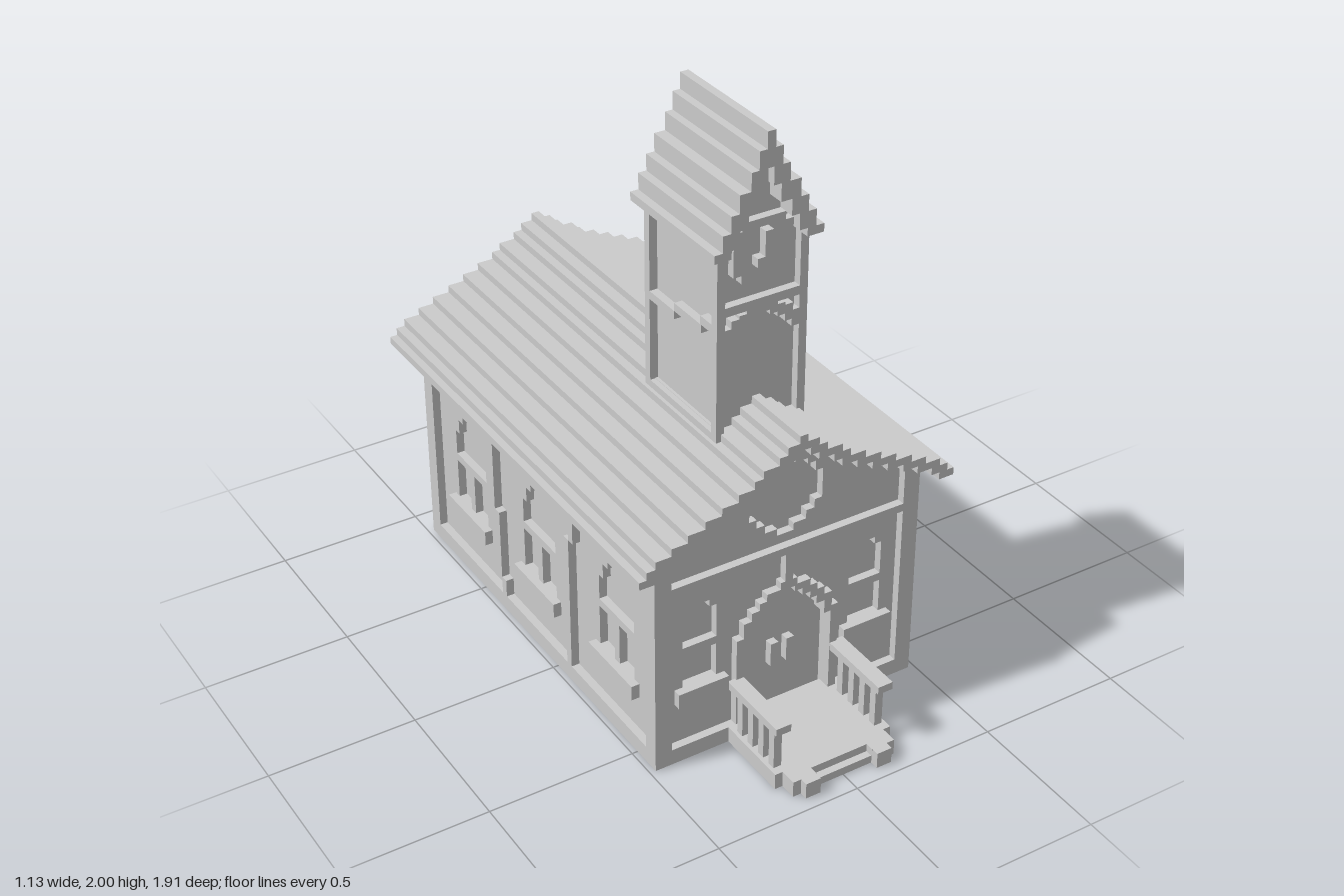
import * as THREE from 'three';

const U = 0.028; // relief depth and beam width
const material = new THREE.MeshStandardMaterial({ color: 0xcccccc, flatShading: true });

function add(parent, name, geometry) {
  const mesh = new THREE.Mesh(geometry, material);
  mesh.name = name;
  parent.add(mesh);
  return mesh;
}

// box given by its min and max on each axis
function box(parent, name, x0, x1, y0, y1, z0, z1) {
  const g = new THREE.BoxGeometry(x1 - x0, y1 - y0, z1 - z0);
  g.translate((x0 + x1) / 2, (y0 + y1) / 2, (z0 + z1) / 2);
  return add(parent, name, g);
}

// symmetric outline stacked from rows of [half width, top]
function stepped(cx, y0, rows, Type = THREE.Shape) {
  const right = [];
  let y = y0;
  for (const [h, top] of rows) {
    right.push([h, y], [h, top]);
    y = top;
  }
  const left = right.map(([h, v]) => [-h, v]).reverse();
  return new Type([...right, ...left].map(([h, v]) => new THREE.Vector2(cx + h, v)));
}

function slab(parent, name, shape, z0, z1) {
  const g = new THREE.ExtrudeGeometry(shape, { depth: z1 - z0, bevelEnabled: false });
  g.translate(0, 0, z0);
  return add(parent, name, g);
}

// stepped gable roof: a pair of planks per row, meeting at the ridge
function roof(parent, name, y0, rows, lap, z0, z1) {
  const group = new THREE.Group();
  group.name = name;
  let y = y0;
  rows.forEach(([h, top], i) => {
    const inner = i + 1 < rows.length ? Math.max(0, rows[i + 1][0] - lap) : 0;
    if (inner > 0) {
      box(group, 'roofPlank', inner, h, y, top, z0, z1);
      box(group, 'roofPlank', -h, -inner, y, top, z0, z1);
    } else box(group, 'ridgePlank', -h, h, y, top, z0, z1);
    y = top;
  });
  parent.add(group);
}

// wall local frame: outer face of the timber frame at z = 0, panel one step behind
function wallPanel(parent, outline, holes) {
  outline.holes.push(...holes);
  slab(parent, 'wallPanel', outline, -2 * U, -U);
}

const wideRows = [[0.105, 0.5], [0.08, 0.555], [0.05, 0.58]];
const narrowRows = [[0.06, 0.53], [0.035, 0.555]];
const wideHole = (c) => stepped(c, 0.2, wideRows, THREE.Path);
const narrowHole = (c) => stepped(c, 0.22, narrowRows, THREE.Path);

function wideBars(parent, c) {
  box(parent, 'windowSill', c - 0.132, c + 0.132, 0.18, 0.232, -2 * U, 0);
  box(parent, 'windowTransom', c - 0.105, c + 0.105, 0.38, 0.408, -2 * U, -U);
  box(parent, 'windowMullion', c - 0.015, c + 0.015, 0.23, 0.38, -2 * U, -U);
}

function narrowBars(parent, c) {
  box(parent, 'windowSill', c - 0.09, c + 0.09, 0.205, 0.26, -2 * U, 0);
  box(parent, 'windowTransom', c - 0.06, c + 0.06, 0.38, 0.408, -2 * U, -U);
}

const beam = (p, x0, x1, y0, y1) => box(p, 'timberBeam', x0, x1, y0, y1, -1.5 * U, 0);

export function createModel() {
  const model = new THREE.Group();
  model.name = 'chapel';
  const W = 0.48, ZF = 0.608, ZB = -0.894, ZC = (ZF + ZB) / 2, HL = (ZF - ZB) / 2;

  // main roof rows
  const edges = [0.565, 0.54, 0.51, 0.455, 0.4, 0.34, 0.283, 0.226, 0.17, 0.14, 0.085, 0.055, 0.014];
  const roofRows = edges.map((h, i) => [h, 0.76 + (0.34 / 13) * (i + 1)]);
  roof(model, 'mainRoof', 0.76, roofRows, 0.03, -0.955, 0.665);

  // gable outline shared by the core and the end walls
  const gable = (half) => roofRows.map(([h, t]) => [Math.min(half, h - 0.008), t]);
  slab(model, 'houseCore', stepped(0, 0, gable(W - 2 * U)), ZB + 2 * U, ZF - 2 * U);

  // corner posts
  for (const sx of [-1, 1]) for (const z of [ZB + 0.029, ZF - 0.029]) {
    box(model, 'cornerPost', sx * 0.451 - 0.029, sx * 0.451 + 0.029, 0, 0.81, z - 0.029, z + 0.029);
  }

  // front wall
  const front = new THREE.Group();
  front.name = 'frontWall';
  front.position.z = ZF;
  model.add(front);
  const doorIn = [[0.16, 0.36], [0.135, 0.41], [0.105, 0.44], [0.08, 0.465], [0.05, 0.49], [0.022, 0.51]];
  const doorOut = [[0.188, 0.38], [0.163, 0.435], [0.134, 0.465], [0.106, 0.49], [0.08, 0.515], [0.03, 0.54]];
  const roundRows = [[0.03, 0.725], [0.075, 0.755], [0.105, 0.785], [0.132, 0.89], [0.105, 0.925], [0.075, 0.945], [0.03, 0.965]];
  wallPanel(front, stepped(0, 0, gable(0.452)), [
    narrowHole(0.305), narrowHole(-0.305),
    stepped(0, 0.03, doorIn, THREE.Path),
    stepped(0, 0.7, roundRows, THREE.Path),
  ]);
  for (const s of [-1, 1]) {
    narrowBars(front, s * 0.305);
    beam(front, s * 0.32 - 0.135, s * 0.32 + 0.135, 0, 0.056);
    box(front, 'doorHandle', s * 0.029 - 0.014, s * 0.029 + 0.014, 0.205, 0.29, -2 * U, -U);
  }
  const arch = stepped(0, 0, doorOut);
  arch.holes.push(stepped(0, 0.03, doorIn, THREE.Path));
  slab(front, 'doorArch', arch, -2 * U, 0);
  beam(front, -0.43, 0.43, 0.64, 0.668);
  beam(front, -0.014, 0.014, 0.53, 0.65);

  // back wall
  const back = new THREE.Group();
  back.name = 'backWall';
  back.position.z = ZB;
  back.rotation.y = Math.PI;
  model.add(back);
  wallPanel(back, stepped(0, 0, gable(0.452)), [wideHole(0.21), wideHole(-0.21)]);
  wideBars(back, 0.21);
  wideBars(back, -0.21);
  beam(back, -0.43, 0.43, 0, 0.056);
  beam(back, -0.43, 0.43, 0.64, 0.668);
  beam(back, -0.014, 0.014, 0.05, 0.65);
  beam(back, -0.235, -0.207, 0.66, 0.93);

  // side walls, each the other turned half way round
  for (const s of [-1, 1]) {
    const side = new THREE.Group();
    side.name = s > 0 ? 'rightSideWall' : 'leftSideWall';
    side.position.set(s * W, 0, ZC);
    side.rotation.y = (s * Math.PI) / 2;
    model.add(side);
    const centres = [-0.478, -0.01, 0.478];
    wallPanel(side, stepped(0, 0, [[HL - U, 0.8]]), centres.map(wideHole));
    centres.forEach((c) => wideBars(side, c));
    beam(side, -0.7, 0.7, 0, 0.056);
    beam(side, -0.7, 0.7, 0.64, 0.668);
    // cranked posts between the windows
    beam(side, -0.292, -0.264, 0.38, 0.65);
    beam(side, -0.264, -0.234, 0.11, 0.38);
    beam(side, -0.234, -0.206, 0.05, 0.12);
    beam(side, 0.232, 0.26, 0.555, 0.65);
    beam(side, 0.204, 0.232, 0.05, 0.555);
    beam(side, -0.058, -0.03, 0.66, 0.79);
  }

  // bell tower
  const tower = new THREE.Group();
  tower.name = 'bellTower';
  model.add(tower);
  const TW = 0.158, TF = 0.434, TB = 0.03;
  const spire = [[0.188, 1.655], [0.16, 1.71], [0.132, 1.765], [0.104, 1.825], [0.066, 1.885], [0.04, 1.945], [0.014, 2]];
  roof(tower, 'towerRoof', 1.627, spire, 0.03, 0.002, 0.465);
  const towerRows = spire.map(([h, t]) => [Math.min(TW - U, h - 0.008), t - 0.003]);
  slab(tower, 'towerCore', stepped(0, 0.9, towerRows), TB + U, TF - U);
  for (const sx of [-1, 1]) {
    const c = sx * (TW - U / 2);
    for (const z of [TB, TF - U]) box(tower, 'towerPost', c - U / 2, c + U / 2, 0.9, 1.65, z, z + U);
    // cranked side rail
    const mid = (TF + TB) / 2;
    const rail = (a, b, y0, y1) => {
      const [z0, z1] = sx > 0 ? [a, b] : [2 * mid - b, 2 * mid - a];
      box(tower, 'sideRail', c - U / 2, c + U / 2, y0, y1, z0, z1);
    };
    rail(0.265, 0.41, 1.307, 1.335);
    rail(0.115, 0.265, 1.335, 1.363);
    rail(0.055, 0.12, 1.363, 1.392);
    box(tower, 'baseRail', c - U / 2, c + U / 2, 0.95, 1.02, TB, TF);
  }
  // front and back rails of the tower
  box(tower, 'frontRail', -0.14, 0.14, 1.42, 1.45, TF - U, TF);
  box(tower, 'backRail', -0.14, 0, 1.307, 1.335, TB, TB + U);
  box(tower, 'backRail', 0, 0.14, 1.335, 1.363, TB, TB + U);
  // stepped arch under the front rail
  const archSteps = [[0.118, 1.32, 1.375], [0.094, 1.345, 1.4], [0.066, 1.37, 1.41], [0.04, 1.385, 1.42], [0.014, 1.4, 1.42]];
  for (const [x, y0, y1] of archSteps) for (const s of [-1, 1]) {
    box(tower, 'towerArch', s * x - 0.014, s * x + 0.014, y0, y1, TF - U, TF);
  }
  // clock face with hands
  const face = [[0.075, 1.542], [0.103, 1.685], [0.075, 1.712]];
  slab(tower, 'clockFace', stepped(0, 1.515, face), TF - U, TF);
  box(tower, 'clockHand', -0.014, 0.014, 1.6, 1.685, TF, 0.464);
  box(tower, 'clockHand', -0.04, -0.012, 1.572, 1.602, TF, 0.464);

  // porch with two low steps at the front
  const porch = new THREE.Group();
  porch.name = 'porch';
  model.add(porch);
  box(porch, 'porchFloor', -0.215, 0.215, 0, 0.056, 0.56, 0.87);
  box(porch, 'porchNose', -0.188, 0.188, 0, 0.056, 0.87, 0.9);
  box(porch, 'lowStep', -0.105, 0.105, 0, 0.028, 0.9, 0.925);
  for (const s of [-1, 1]) {
    box(porch, 'porchEdge', s * 0.146 - 0.042, s * 0.146 + 0.042, 0, 0.056, 0.9, 0.928);
    box(porch, 'porchToe', s * 0.132 - 0.027, s * 0.132 + 0.027, 0, 0.056, 0.928, 0.955);
    box(porch, 'handrail', s * 0.188 - 0.027, s * 0.188 + 0.027, 0.205, 0.232, 0.6, 0.87);
    for (const z of [0.652, 0.711, 0.769, 0.827]) {
      box(porch, 'baluster', s * 0.188 - 0.014, s * 0.188 + 0.014, 0.056, 0.205, z - 0.014, z + 0.014);
    }
  }
  return model;
}
